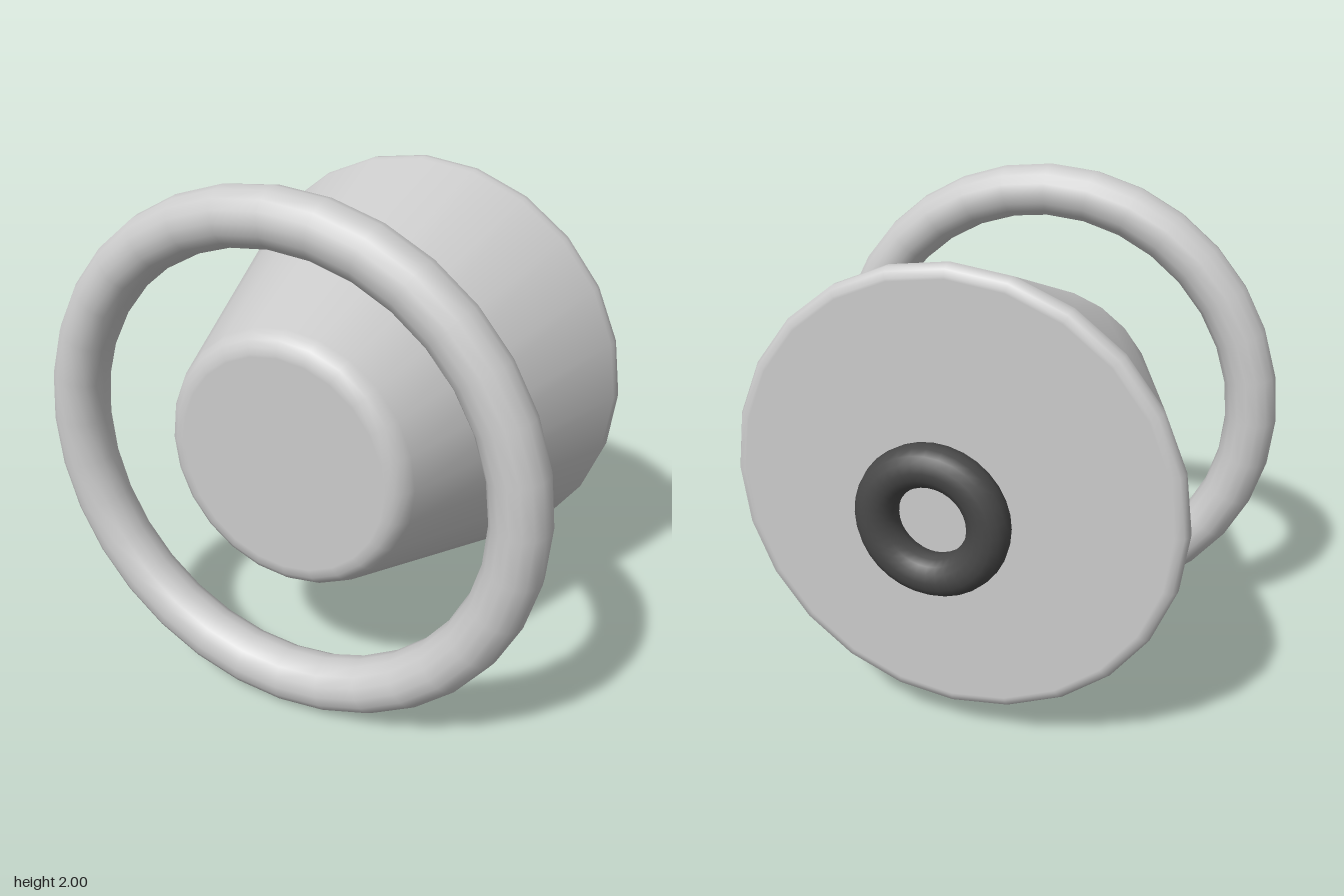
import * as THREE from 'three';

const CENTRE_Y = 1;

export function createModel() {
  const group = new THREE.Group();
  const grey = new THREE.MeshStandardMaterial({ color: 0xcccccc });
  const dark = new THREE.MeshStandardMaterial({ color: 0x484848 });

  function add(name, geometry, material, z) {
    const mesh = new THREE.Mesh(geometry, material);
    mesh.name = name;
    mesh.position.set(0, CENTRE_Y, z);
    group.add(mesh);
  }

  // Tapered body with softened rims: [radius, z] from the wide back to the narrow front
  const profile = [
    [0, -0.525], [0.82, -0.525], [0.83, -0.525], [0.853, -0.517], [0.866, -0.497],
    [0.867, -0.47], [0.86, -0.45],
    [0.495, 0.595], [0.485, 0.617], [0.468, 0.64], [0.445, 0.655], [0.42, 0.66],
    [0.41, 0.66], [0, 0.66],
  ].map(([r, z]) => new THREE.Vector2(r, z));
  const body = new THREE.LatheGeometry(profile, 24);
  body.rotateX(Math.PI / 2);
  add('taperedBody', body, grey, 0);

  // Large ring around the narrow front end
  add('frontRing', new THREE.TorusGeometry(0.895, 0.105, 16, 32), grey, 0.645);

  // Small dark ring floating behind the wide end
  add('backRing', new THREE.TorusGeometry(0.21, 0.078, 16, 32), dark, -0.672);

  return group;
}
